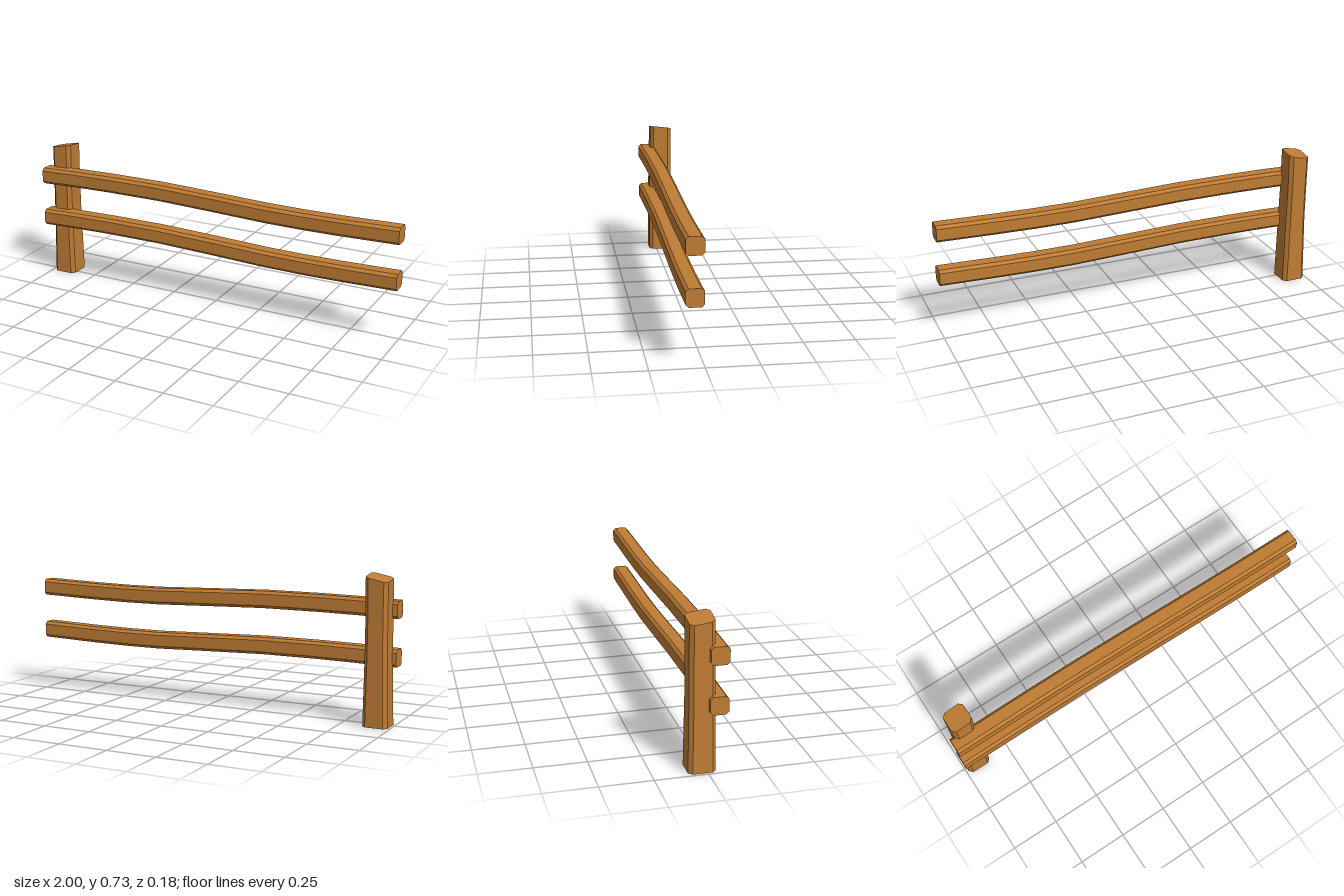
import * as THREE from 'three';
import { toCreasedNormals } from 'three/addons/utils/BufferGeometryUtils.js';

// Chamfered rectangle outline, counter-clockwise in (u, v)
function outline(u0, u1, v0, v1, c) {
  return [
    [u0 + c, v0], [u1 - c, v0], [u1, v0 + c], [u1, v1 - c],
    [u1 - c, v1], [u0 + c, v1], [u0, v1 - c], [u0, v0 + c],
  ];
}

// Skin a list of rings (arrays of [x, y, z]) and close both ends
function loft(rings) {
  const n = rings[0].length, last = (rings.length - 1) * n, index = [];
  for (let r = 0; r < rings.length - 1; r++) {
    for (let i = 0; i < n; i++) {
      const a = r * n + i, b = r * n + (i + 1) % n;
      index.push(a, b, b + n, a, b + n, a + n);
    }
  }
  for (let i = 1; i < n - 1; i++) {
    index.push(0, i + 1, i, last, last + i, last + i + 1);
  }
  const geometry = new THREE.BufferGeometry();
  geometry.setAttribute('position', new THREE.Float32BufferAttribute(rings.flat(2), 3));
  geometry.setIndex(index);
  return toCreasedNormals(geometry, 0.3);
}

export function createModel() {
  const group = new THREE.Group();
  const wood = new THREE.MeshStandardMaterial({ color: 0xbf7c34 });
  wood.name = 'wood';

  const add = (name, geometry) => {
    const mesh = new THREE.Mesh(geometry, wood);
    mesh.name = name;
    group.add(mesh);
  };

  // Post: slightly waisted, with a slanted top cut [y, back, front, right, left]
  const postLevels = [
    [0, -0.088, 0.04, -0.988, -0.863],
    [0.35, -0.084, 0.038, -0.978, -0.866],
    [0.55, -0.085, 0.034, -0.976, -0.866],
    [null, -0.085, 0.031, -0.976, -0.863],
  ];
  add('post', loft(postLevels.map(([y, z0, z1, x0, x1]) =>
    outline(z0, z1, x0, x1, 0.018).map(([z, x]) =>
      [x, y ?? 0.73 + 0.2 * (x + 0.863) + 0.12 * z, z]))));

  // Rails: gentle S-bend along x [x, rise, z shift]
  const bend = [
    [-1, 0, 0], [-0.8, 0.006, -0.001], [-0.6, 0.009, -0.003], [-0.3, 0.009, -0.005],
    [0, 0, -0.006], [0.3, -0.01, -0.005], [0.5, -0.011, -0.003], [0.7, -0.008, -0.001], [1, 0, 0],
  ];
  const rail = (name, y) => add(name, loft(bend.map(([x, rise, shift]) =>
    outline(y + rise - 0.043, y + rise + 0.043, 0.003 + shift, 0.089 + shift, 0.014)
      .map(([v, z]) => [x, v, z]))));
  rail('upperRail', 0.559);
  rail('lowerRail', 0.325);

  return group;
}
